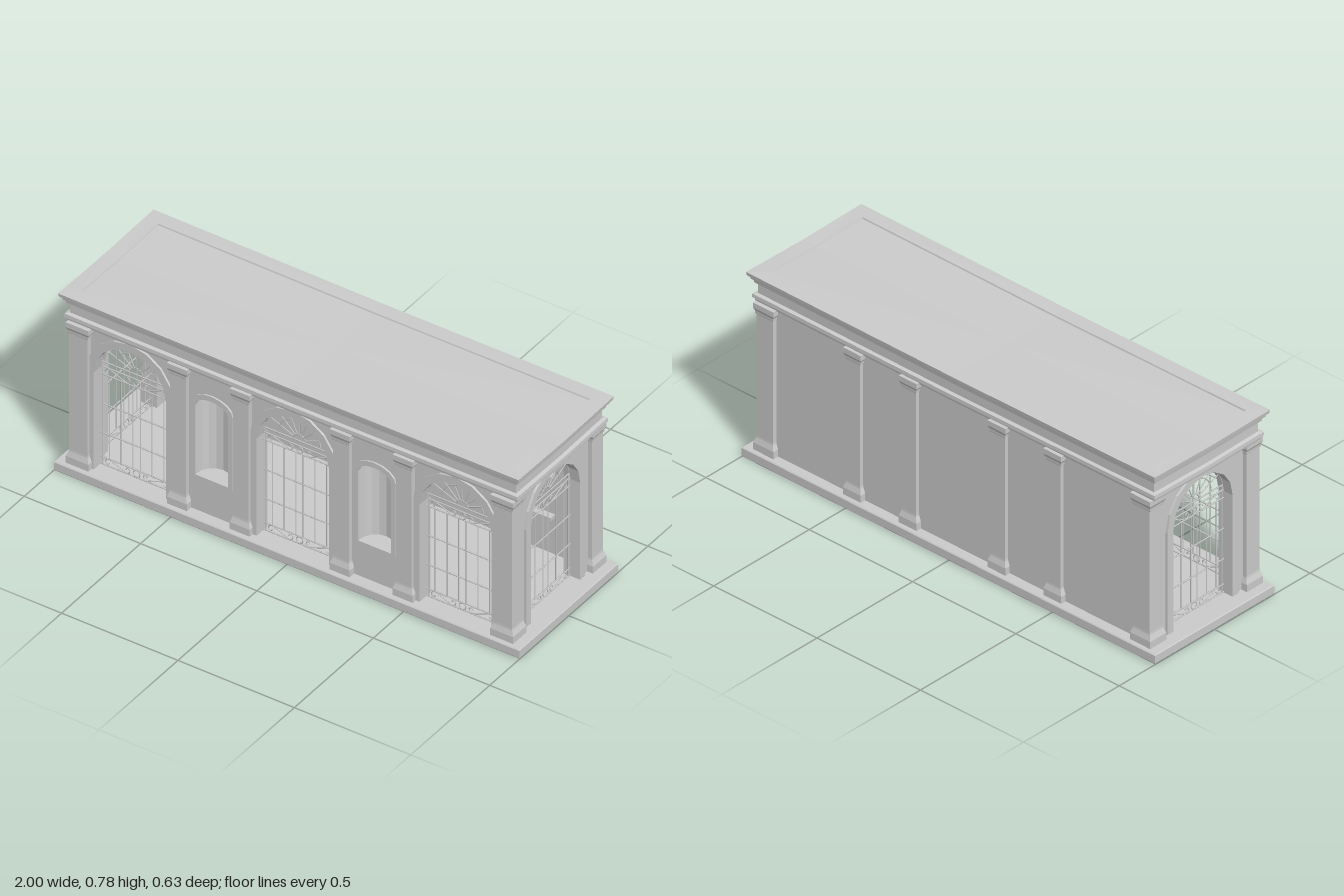
import * as THREE from 'three';
import { mergeGeometries } from 'three/addons/utils/BufferGeometryUtils.js';

const stone = new THREE.MeshStandardMaterial({ color: 0xcccccc, flatShading: true, side: THREE.DoubleSide });
const iron = new THREE.MeshStandardMaterial({ color: 0xcccccc });
const V2 = (x, y) => new THREE.Vector2(x, y);
const V3 = (x, y, z = 0) => new THREE.Vector3(x, y, z);

function add(parent, name, geo, mat = stone, x = 0, y = 0, z = 0) {
  const m = new THREE.Mesh(geo, mat);
  m.name = name;
  m.position.set(x, y, z);
  parent.add(m);
  return m;
}

// stacked rectangles [halfX, halfZ, y]; the middle of each side can sag
function loft(rings, sag = 0) {
  const pos = [], idx = [], n = 8;
  const dirs = [[1, 1], [1, 0], [1, -1], [0, -1], [-1, -1], [-1, 0], [-1, 1], [0, 1]];
  for (const [hx, hz, y] of rings)
    for (const [a, b] of dirs) pos.push(a * hx, y - (a * b === 0 ? sag : 0), b * hz);
  for (let r = 0; r < rings.length - 1; r++)
    for (let i = 0; i < n; i++) {
      const a = r * n + i, b = r * n + (i + 1) % n;
      idx.push(a, b, b + n, a, b + n, a + n);
    }
  const last = (rings.length - 1) * n, c = rings.length * n;
  pos.push(0, rings[0][2] - sag, 0, 0, rings.at(-1)[2] - sag, 0);
  for (let i = 0; i < n; i++) {
    const j = (i + 1) % n;
    idx.push(c, j, i, c + 1, last + i, last + j);
  }
  const g = new THREE.BufferGeometry();
  g.setAttribute('position', new THREE.Float32BufferAttribute(pos, 3));
  g.setIndex(idx);
  g.computeVertexNormals();
  return g;
}

// outline of an opening with straight jambs and a rounded head
function archPoints(cx, w, y0, spring, rise, n = 8) {
  const pts = [V2(cx - w, y0), V2(cx + w, y0)];
  for (let i = 0; i <= n; i++) {
    const a = Math.PI * i / n;
    pts.push(V2(cx + w * Math.cos(a), spring + rise * Math.sin(a)));
  }
  return pts;
}

function slab(outline, holes, depth) {
  const s = new THREE.Shape(outline);
  s.holes = holes.map(h => new THREE.Path(h));
  return new THREE.ExtrudeGeometry(s, { depth, bevelEnabled: false }).translate(0, 0, -depth);
}

const door = x => archPoints(x, 0.155, 0.039, 0.47, 0.155);
const niche = x => archPoints(x, 0.07, 0.2, 0.51, 0.04);

function wall(halfWidth, doors, niches) {
  const outline = [V2(-halfWidth, 0.03), V2(halfWidth, 0.03), V2(halfWidth, 0.665), V2(-halfWidth, 0.665)];
  return slab(outline, [...doors.map(door), ...niches.map(niche)], 0.06);
}

// curved recess with floor, back and head
function nicheShell() {
  const pos = [], idx = [], n = 8;
  for (let i = 0; i <= n; i++) {
    const a = Math.PI * i / n, x = 0.07 * Math.cos(a), s = Math.sin(a);
    const top = 0.51 + 0.04 * s, z = -0.07 * s;
    pos.push(x, 0.2, 0, x, 0.2, z, x, top, z, x, top, 0);
  }
  for (let i = 0; i < n; i++)
    for (let r = 0; r < 3; r++) {
      const a = i * 4 + r, b = a + 4;
      idx.push(a, b, b + 1, a, b + 1, a + 1);
    }
  const g = new THREE.BufferGeometry();
  g.setAttribute('position', new THREE.Float32BufferAttribute(pos, 3));
  g.setIndex(idx);
  g.computeVertexNormals();
  return g;
}

// wrought iron gate with scroll bands and a fanlight
function gateGeometry() {
  const parts = [], R = 0.0024;
  const rod = (a, b, r = R) => parts.push(new THREE.TubeGeometry(new THREE.LineCurve3(a, b), 1, r, 5));
  const bend = (pts, seg) => parts.push(new THREE.TubeGeometry(new THREE.CatmullRomCurve3(pts), seg, R, 5));
  const arc = (r, cy, a) => parts.push(new THREE.TorusGeometry(r, R, 5, 20, a).translate(0, cy, 0));

  for (const y of [0.043, 0.075, 0.182, 0.311, 0.442, 0.476, 0.498]) rod(V3(-0.155, y), V3(0.155, y), 0.003);
  for (const x of [-0.117, -0.066, -0.016, 0.016, 0.066, 0.117]) rod(V3(x, 0.075), V3(x, 0.442));
  for (const s of [-1, 1]) rod(V3(s * 0.146, 0.04), V3(s * 0.146, 0.498), 0.003);

  for (const y of [0.059, 0.459]) {
    arc(0.014, y, Math.PI * 2);
    for (const s of [-1, 1]) {
      const half = [];
      for (let i = 0; i <= 9; i++) {
        const t = i / 9, a = -Math.PI + t * 1.5 * Math.PI, r = 0.005 + 0.009 * t;
        half.push([0.122 + r * Math.cos(a), r * Math.sin(a)]);
      }
      const mirror = half.map(([x, v]) => [0.162 - x, -v]).reverse();
      bend([...half, ...mirror].map(([x, v]) => V3(s * x, y + v)), 44);
    }
  }

  arc(0.026, 0.5, Math.PI);
  arc(0.09, 0.5, Math.PI);
  arc(0.153, 0.47, Math.PI);
  for (let i = 1; i < 8; i++) {
    const a = Math.PI * i / 8, c = Math.cos(a), s = Math.sin(a);
    const t = -0.03 * s + Math.sqrt(0.155 ** 2 - 0.0009 * c * c);
    rod(V3(0.026 * c, 0.5 + 0.026 * s), V3(t * c, 0.5 + t * s));
  }
  return mergeGeometries(parts);
}

export function createModel() {
  const model = new THREE.Group();
  model.name = 'arcadedPavilion';

  // plinth
  const rect = ([h, y]) => [h + 0.687, h, y];
  add(model, 'plinth', loft([[0.31, 0], [0.313, 0.004], [0.313, 0.036], [0.31, 0.04]].map(rect)));

  // entablature, cornice and sunken roof
  const profile = [
    [0.278, 0.66], [0.28, 0.67], [0.287, 0.675], [0.286, 0.69], [0.272, 0.693],
    [0.272, 0.735], [0.281, 0.737], [0.283, 0.749], [0.29, 0.753], [0.292, 0.763],
    [0.3, 0.768], [0.302, 0.782], [0.242, 0.782], [0.24, 0.776],
  ];
  add(model, 'entablature', loft(profile.map(rect), 0.005));

  // walls
  const bays = [-0.7, 0, 0.7], nicheX = [-0.35, 0.35];
  const gate = gateGeometry();
  const surround = slab(archPoints(0, 0.186, 0.03, 0.47, 0.187), [door(0)], 0.018);
  function addDoor(parent, x) {
    add(parent, 'archSurround', surround, stone, x, 0, 0.009);
    add(parent, 'gate', gate, iron, x, 0, -0.035);
  }

  const front = new THREE.Group();
  front.name = 'frontWall';
  front.position.z = 0.265;
  add(front, 'wallPanel', wall(0.9, bays, nicheX));
  bays.forEach(x => addDoor(front, x));
  const nicheFrame = slab(archPoints(0, 0.09, 0.187, 0.515, 0.057), [niche(0)], 0.012);
  for (const x of nicheX) {
    add(front, 'niche', nicheShell(), stone, x);
    add(front, 'nicheFrame', nicheFrame, stone, x, 0, 0.007);
  }
  model.add(front);

  for (const s of [-1, 1]) {
    const side = new THREE.Group();
    side.name = s > 0 ? 'leftWall' : 'rightWall';
    side.position.x = s * 0.935;
    side.rotation.y = s * Math.PI / 2;
    add(side, 'wallPanel', wall(0.25, [0], []));
    addDoor(side, 0);
    model.add(side);
  }

  add(model, 'backWall', new THREE.BoxGeometry(1.8, 0.635, 0.04), stone, 0, 0.3475, -0.25);

  // shallow ledges inside, on the back wall
  for (const x of bays)
    for (const y of [0.21, 0.39])
      add(model, 'innerLedge', new THREE.BoxGeometry(0.17, 0.014, 0.03), stone, x, y, -0.217);

  // corner piers and pilasters
  const pier = (hx, hz) => loft([
    [0.009, 0.036], [0.009, 0.07], [0.006, 0.078], [0.001, 0.092], [0, 0.1], [0, 0.615],
    [0.003, 0.618], [0.004, 0.63], [0.009, 0.64], [0.009, 0.662],
  ].map(([e, y]) => [hx + e, hz + e * 0.8, y]));
  const corner = pier(0.04, 0.035), pilaster = pier(0.034, 0.024);
  for (const sz of [-1, 1])
    for (const sx of [-1, 1]) {
      add(model, 'cornerPier', corner, stone, sx * 0.912, 0, sz * 0.253);
      for (const x of [0.215, 0.485]) add(model, 'pilaster', pilaster, stone, sx * x, 0, sz * 0.262);
    }

  return model;
}
